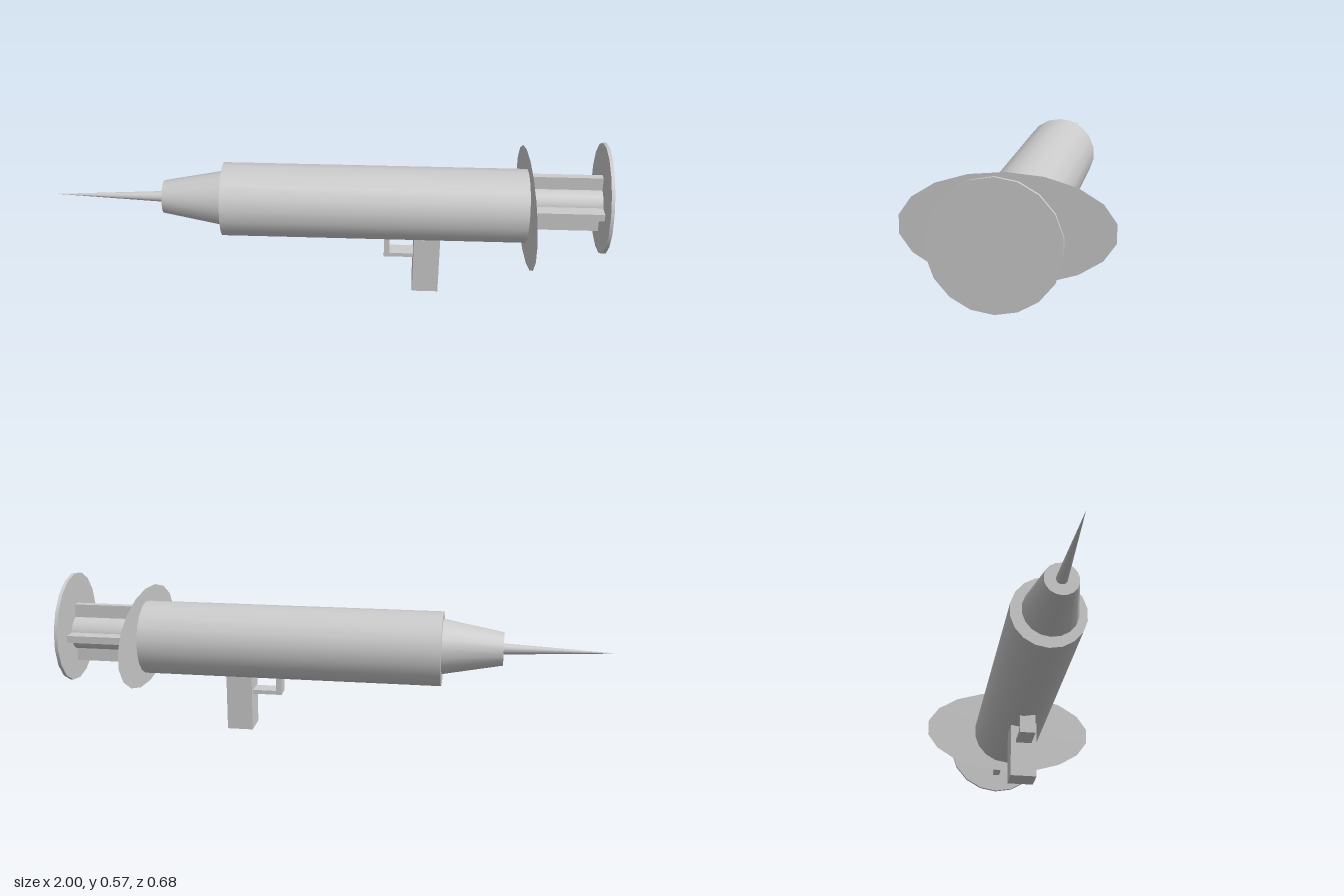
import * as THREE from 'three';

const SIDES = 18;

export function createModel() {
  const model = new THREE.Group();
  model.name = 'syringeGun';
  const grey = new THREE.MeshStandardMaterial({ color: 0xcccccc });
  const thin = new THREE.MeshStandardMaterial({ color: 0xcccccc, side: THREE.DoubleSide });

  const add = (name, geometry, x, y, z, material = grey) => {
    const mesh = new THREE.Mesh(geometry, material);
    mesh.name = name;
    mesh.position.set(x, y, z);
    model.add(mesh);
    return mesh;
  };

  // Round part lying along x, from x0 (radius r0) to x1 (radius r1)
  const round = (name, x0, x1, r0, r1, y, z) => {
    const g = new THREE.CylinderGeometry(r1, r0, x1 - x0, SIDES, 1, false, Math.PI / 2);
    return add(name, g.rotateZ(-Math.PI / 2), (x0 + x1) / 2, y, z);
  };

  // Box given by its lower and upper corners
  const box = (name, [x0, y0, z0], [x1, y1, z1]) =>
    add(name, new THREE.BoxGeometry(x1 - x0, y1 - y0, z1 - z0),
      (x0 + x1) / 2, (y0 + y1) / 2, (z0 + z1) / 2);

  // Needle, tapered nozzle and barrel
  round('needle', -1, -0.6, 0, 0.02, 0.343, 0);
  round('nozzle', -0.6, -0.383, 0.06, 0.1, 0.343, 0);
  round('barrel', -0.383, 0.715, 0.135, 0.135, 0.336, -0.006);

  // Paper-thin oval finger flange at the back of the barrel
  const oval = new THREE.CircleGeometry(1, SIDES, Math.PI / 2);
  oval.scale(0.343, 0.178, 1).rotateY(Math.PI / 2);
  add('fingerFlange', oval, 0.716, 0.34, 0, thin);

  // Plunger: round core with four ribs and a thumb disc
  const py = 0.348, pz = -0.017;
  round('plungerCore', 0.7, 0.985, 0.062, 0.062, py, pz);
  const rib = 0.108, half = 0.013;
  box('plungerRibsUpright', [0.7, py - rib, pz - half], [0.985, py + rib, pz + half]);
  box('plungerRibsFlat', [0.7, py - half, pz - rib], [0.985, py + half, pz + rib]);
  round('thumbDisc', 0.982, 0.994, 0.201, 0.201, 0.369, pz).rotation.z = 0.018;

  // Grip, with the trigger guard in front of it
  box('grip', [0.315, 0, -0.04], [0.41, 0.22, 0.06]);
  box('triggerGuardBottom', [0.207, 0.135, -0.02], [0.32, 0.15, 0.04]);
  box('triggerGuardFront', [0.207, 0.135, -0.02], [0.227, 0.215, 0.04]);

  return model;
}
